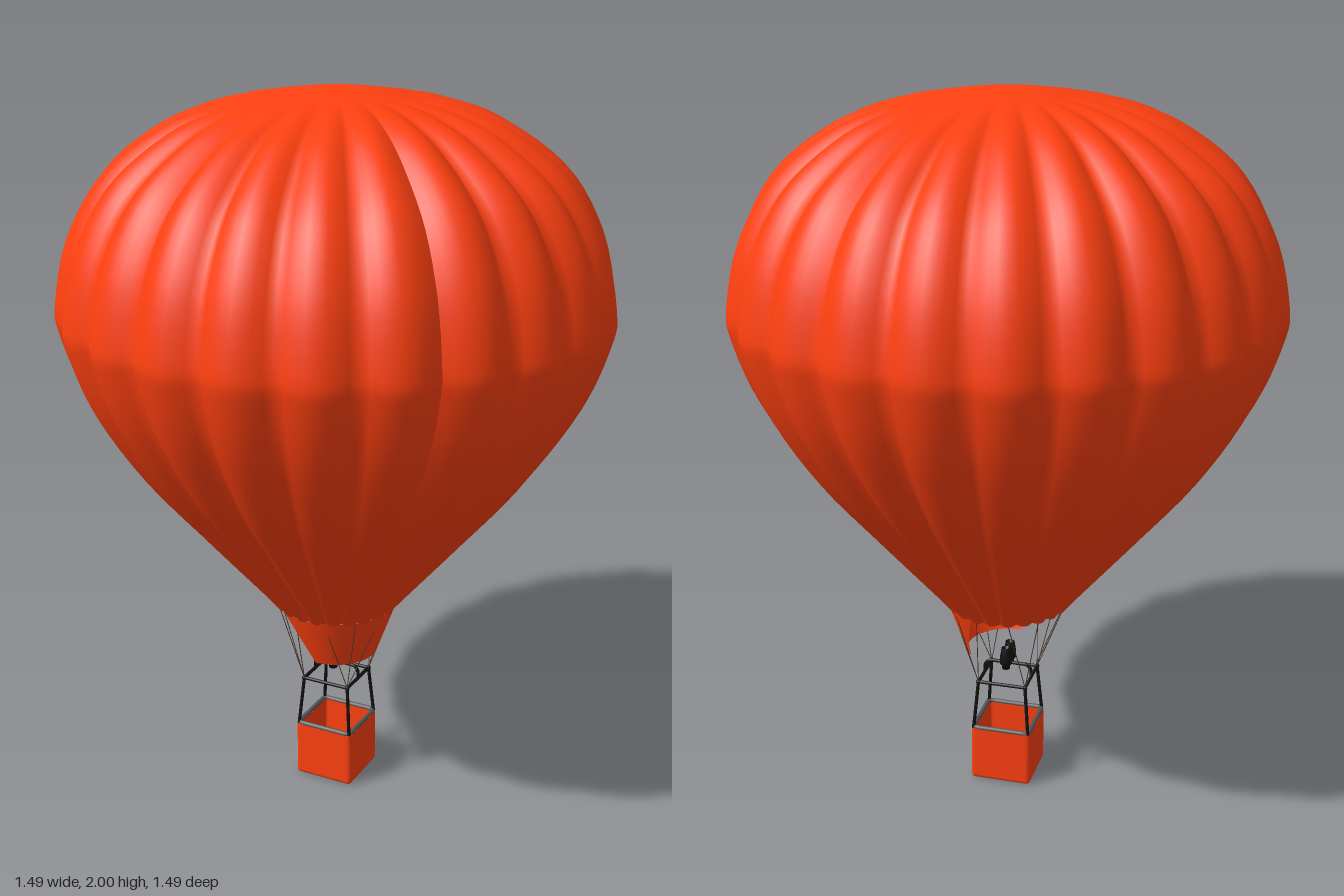
import * as THREE from 'three';
import { RoundedBoxGeometry } from 'three/addons/geometries/RoundedBoxGeometry.js';

const rad = THREE.MathUtils.degToRad;
const V = (x, y, z) => new THREE.Vector3(x, y, z);
const mat = (color, side = THREE.FrontSide) => new THREE.MeshStandardMaterial({ color, side });
const fabric = mat(0xff4010), fabricBoth = mat(0xff4010, THREE.DoubleSide);
const lining = mat(0x857a4c, THREE.BackSide);
const black = mat(0x111111), grey = mat(0x555555), ropeMat = mat(0x4a3a30);

function add(parent, name, geometry, material, x = 0, y = 0, z = 0) {
  const mesh = new THREE.Mesh(geometry, material);
  mesh.name = name;
  mesh.position.set(x, y, z);
  parent.add(mesh);
  return mesh;
}

// Straight round bar between two points
function rod(parent, name, a, b, radius, material, sides = 8) {
  const dir = b.clone().sub(a);
  const mesh = add(parent, name, new THREE.CylinderGeometry(radius, radius, dir.length(), sides), material);
  mesh.position.copy(a).add(b).multiplyScalar(0.5);
  mesh.quaternion.setFromUnitVectors(V(0, 1, 0), dir.normalize());
}

function roundedSquare(h, r, Type = THREE.Shape) {
  const s = new Type();
  s.moveTo(-h + r, -h);
  s.lineTo(h - r, -h).quadraticCurveTo(h, -h, h, -h + r);
  s.lineTo(h, h - r).quadraticCurveTo(h, h, h - r, h);
  s.lineTo(-h + r, h).quadraticCurveTo(-h, h, -h, h - r);
  s.lineTo(-h, -h + r).quadraticCurveTo(-h, -h, -h + r, -h);
  return s;
}

// Lathed envelope whose seams are pulled inward to leave bulging gores
function envelopeGeometry() {
  const gores = 23, perGore = 8, rows = 56, start = rad(9.8);
  const profile = new THREE.SplineCurve([
    [0.175, 0.55], [0.215, 0.6], [0.385, 0.8], [0.55, 1.0], [0.675, 1.2], [0.738, 1.37], [0.745, 1.46],
    [0.705, 1.63], [0.61, 1.79], [0.46, 1.905], [0.32, 1.96], [0.18, 1.985], [0.08, 1.997], [0, 2],
  ].map(p => new THREE.Vector2(...p)));
  const pts = profile.getPoints(rows);
  pts[rows].x = 0;
  const geo = new THREE.LatheGeometry(pts, gores * perGore, start);
  const pos = geo.attributes.position;
  for (let i = 0; i <= gores * perGore; i++) {
    const a = start + (i / (gores * perGore)) * Math.PI * 2;
    const valley = 1 - Math.abs(Math.sin((i / perGore) * Math.PI));
    for (let j = 0; j <= rows; j++) {
      const p = pts[j], t = profile.getTangent(j / rows);
      const depth = p.y > 1.46 ? 0.034 * THREE.MathUtils.smoothstep(p.x, 0.14, 0.6) : 0.046 * p.x;
      const r = Math.max(0, p.x - t.y * depth * valley);
      pos.setXYZ(i * (rows + 1) + j, r * Math.sin(a), p.y + t.x * depth * valley, r * Math.cos(a));
    }
  }
  geo.computeVertexNormals();
  return geo;
}

// Wind scoop: part of a cone that narrows in angle towards its lower edge
function scoopGeometry() {
  const n = 32, m = 6;
  const geo = new THREE.PlaneGeometry(1, 1, n, m);
  const pos = geo.attributes.position;
  for (let k = 0; k < pos.count; k++) {
    const u = pos.getX(k) * 2, v = pos.getY(k) + 0.5;
    const a = rad(27 + u * THREE.MathUtils.lerp(68, 95, v));
    const r = THREE.MathUtils.lerp(0.118, 0.174, v);
    pos.setXYZ(k, r * Math.sin(a), 0.4 + 0.155 * v, r * Math.cos(a));
  }
  geo.computeVertexNormals();
  return geo;
}

export function createModel() {
  const model = new THREE.Group();
  model.name = 'hotAirBalloon';

  const envelope = envelopeGeometry();
  add(model, 'envelope', envelope, fabric);
  add(model, 'envelopeLining', envelope, lining);
  add(model, 'scoop', scoopGeometry(), fabricBoth);

  // Basket, frame and burner share one turned group
  const rig = new THREE.Group();
  rig.name = 'basketRig';
  rig.rotation.y = rad(-37);
  model.add(rig);

  const wall = roundedSquare(0.089, 0.014);
  wall.holes.push(roundedSquare(0.077, 0.008, THREE.Path));
  const wallGeo = new THREE.ExtrudeGeometry(wall, { depth: 0.151, bevelEnabled: false, curveSegments: 4 });
  wallGeo.rotateX(-Math.PI / 2);
  add(rig, 'basketWalls', wallGeo, fabric, 0, 0.014, 0);
  add(rig, 'basketFloor', new RoundedBoxGeometry(0.178, 0.03, 0.178, 3, 0.012), fabric, 0, 0.015, 0);

  const rimPath = new THREE.CatmullRomCurve3(
    roundedSquare(0.083, 0.014).getSpacedPoints(48).slice(0, -1).map(p => V(p.x, 0, p.y)), true);
  add(rig, 'basketRim', new THREE.TubeGeometry(rimPath, 96, 0.007, 8, true), grey, 0, 0.168, 0);

  // Uprights, top frame and suspension ropes, corner by corner
  const corner = (i, h, y) => {
    const a = Math.PI / 4 + (i * Math.PI) / 2;
    return V(Math.SQRT2 * h * Math.sin(a), y, Math.SQRT2 * h * Math.cos(a));
  };
  for (let i = 0; i < 4; i++) {
    const top = corner(i, 0.07, 0.312);
    rod(rig, 'upright', corner(i, 0.082, 0.165), top, 0.005, black);
    rod(rig, 'topFrameBar', top, corner(i + 1, 0.07, 0.312), 0.005, black);
    add(rig, 'frameJoint', new THREE.SphereGeometry(0.007, 10, 8), black, top.x, top.y, top.z);
    for (const k of [-1, 0, 1]) {
      const a = Math.PI / 4 + (i * Math.PI) / 2 + (k * Math.PI) / 6;
      rod(rig, 'rope', top, V(0.174 * Math.sin(a), 0.56, 0.174 * Math.cos(a)), 0.0013, ropeMat, 5);
    }
  }

  // Arched burner support across the frame
  const arch = new THREE.CatmullRomCurve3([
    V(-0.07, 0.312, 0), V(-0.069, 0.335, 0), V(-0.058, 0.348, 0), V(-0.03, 0.35, 0),
    V(0.03, 0.35, 0), V(0.058, 0.348, 0), V(0.069, 0.335, 0), V(0.07, 0.312, 0),
  ]);
  add(rig, 'burnerArch', new THREE.TubeGeometry(arch, 40, 0.005, 8), black);
  rod(rig, 'burnerCrossBar', V(0, 0.35, -0.03), V(0, 0.35, 0.03), 0.006, black);

  // Twin burner cans
  const can = [[0, 0], [0.012, 0], [0.012, 0.014], [0.018, 0.016], [0.018, 0.036], [0.013, 0.066], [0.010, 0.066], [0, 0.05]]
    .map(p => new THREE.Vector2(...p));
  for (const s of [-1, 1]) {
    const burner = add(rig, 'burner', new THREE.LatheGeometry(can, 16), black, 0, 0.342, s * 0.022);
    burner.material = mat(0x111111, THREE.DoubleSide);
  }
  return model;
}
